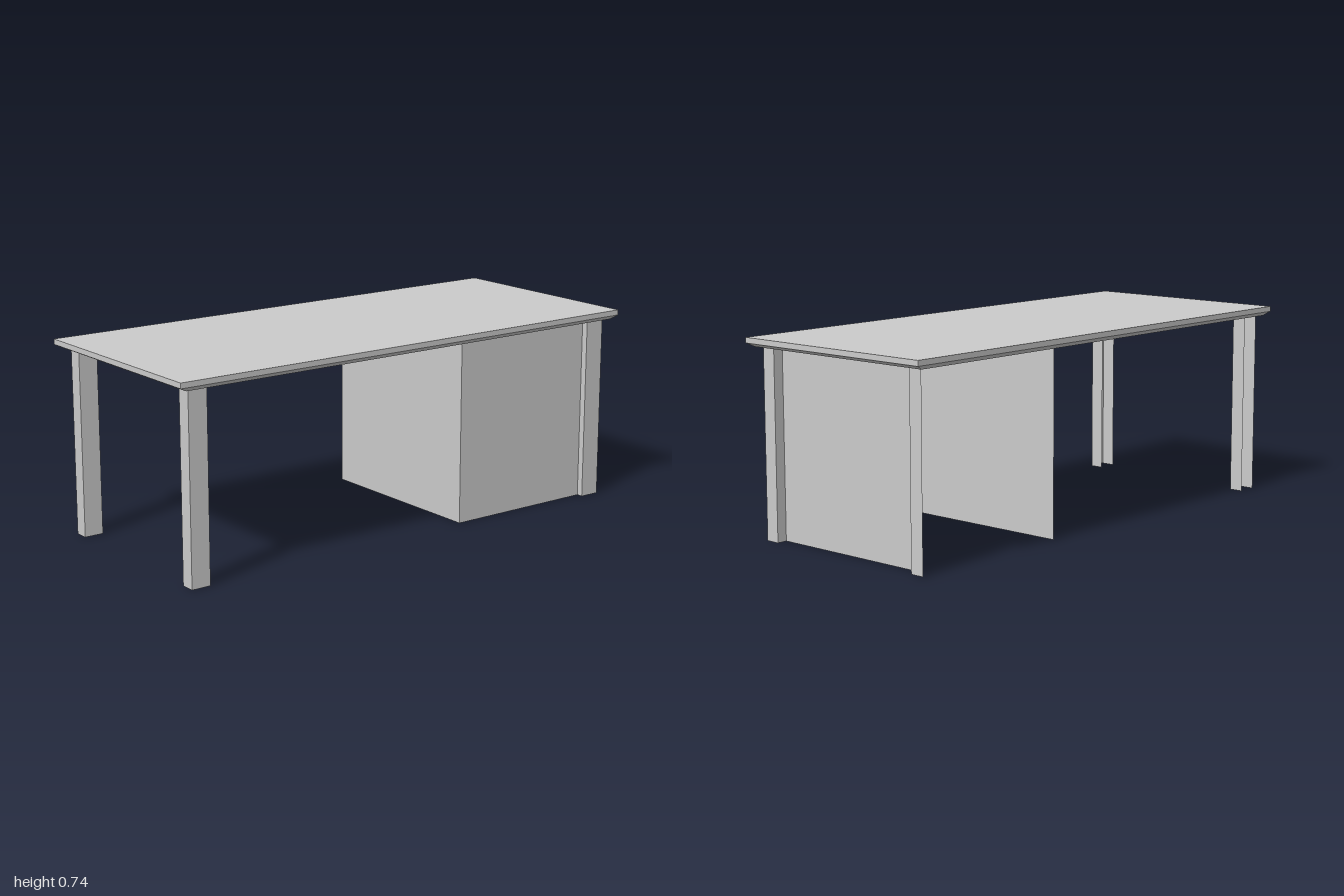
import * as THREE from 'three';

const material = new THREE.MeshStandardMaterial({
  color: 0xcccccc, flatShading: true, side: THREE.DoubleSide,
});

const LEG_TOP = 0.705;

// Flat-faced mesh from a list of quads, corners counter-clockwise from outside
function quadMesh(name, quads) {
  const positions = [];
  for (const [a, b, c, d] of quads) positions.push(...a, ...b, ...c, ...a, ...c, ...d);
  const geometry = new THREE.BufferGeometry();
  geometry.setAttribute('position', new THREE.Float32BufferAttribute(positions, 3));
  geometry.computeVertexNormals();
  const mesh = new THREE.Mesh(geometry, material);
  mesh.name = name;
  return mesh;
}

// Folded sheet: a floor-plan path of [x, z] points raised to the leg height
function foldedSheet(name, path) {
  const quads = [];
  for (let i = 0; i < path.length - 1; i++) {
    const [x0, z0] = path[i];
    const [x1, z1] = path[i + 1];
    quads.push([[x0, 0, z0], [x1, 0, z1], [x1, LEG_TOP, z1], [x0, LEG_TOP, z0]]);
  }
  return quadMesh(name, quads);
}

// Desk top: a sheet with a turned-down edge and an inward bevel, open below
function tabletop() {
  const ring = (y, x, z) => [[-x, y, z], [x, y, z], [x, y, -z], [-x, y, -z]];
  const rings = [
    ring(0.703, 0.97, 0.411),
    ring(0.718, 1, 0.425),
    ring(0.738, 1, 0.425),
  ];
  const quads = [rings[2]];
  for (let r = 0; r < 2; r++) {
    for (let i = 0; i < 4; i++) {
      const j = (i + 1) % 4;
      quads.push([rings[r][i], rings[r][j], rings[r + 1][j], rings[r + 1][i]]);
    }
  }
  return quadMesh('tabletop', quads);
}

export function createModel() {
  const desk = new THREE.Group();
  desk.name = 'desk';
  desk.add(tabletop());

  // Free-standing channel legs, open towards the back
  for (const [name, front, back] of [['frontLeg', 0.39, 0.335], ['backLeg', -0.335, -0.39]]) {
    desk.add(foldedSheet(name, [[-0.95, back], [-0.95, front], [-0.875, front], [-0.875, back]]));
  }

  // Pedestal: inner panel, front panel, front post, side panel and back post in one folded sheet
  desk.add(foldedSheet('pedestal', [
    [0.26, -0.37], [0.26, 0.365], [0.87, 0.365],
    [0.87, 0.39], [0.95, 0.39], [0.95, 0.335],
    [0.91, 0.335], [0.91, -0.335],
    [0.95, -0.335], [0.95, -0.39],
  ]));

  return desk;
}
